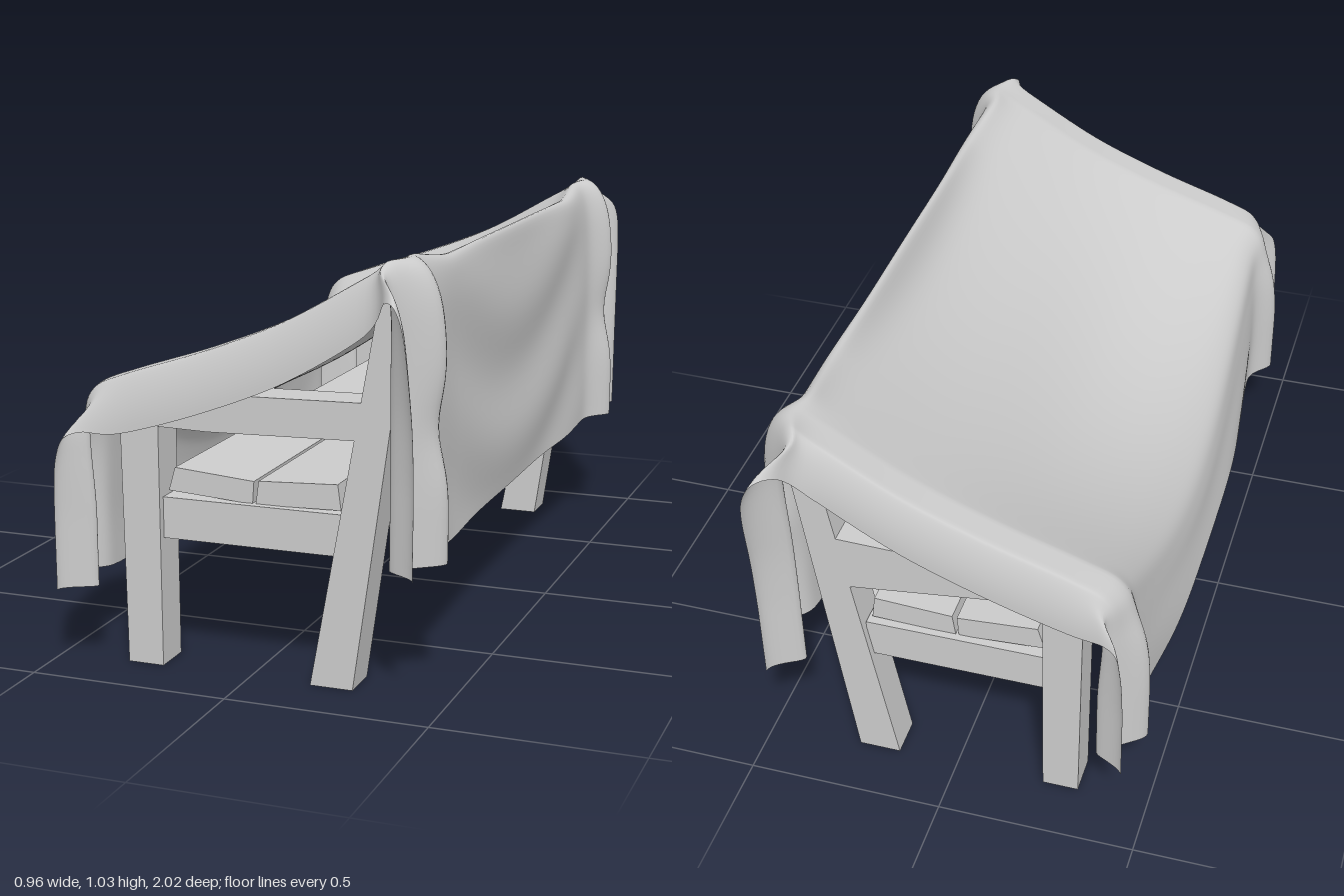
import * as THREE from 'three';

const wood = new THREE.MeshStandardMaterial({ color: 0xcccccc, flatShading: true });
const fabric = new THREE.MeshStandardMaterial({ color: 0xcccccc, side: THREE.DoubleSide });

// Timber cut from a side outline (x, y) and extruded along z about a centre
function plank(name, outline, zCentre, depth) {
  const shape = new THREE.Shape(outline.map(([x, y]) => new THREE.Vector2(x, y)));
  const geo = new THREE.ExtrudeGeometry(shape, { depth, bevelEnabled: false });
  geo.translate(0, 0, zCentre - depth / 2);
  const mesh = new THREE.Mesh(geo, wood);
  mesh.name = name;
  return mesh;
}

const rect = (x0, x1, y0, y1) => [[x0, y0], [x1, y0], [x1, y1], [x0, y1]];

function createBench() {
  const bench = new THREE.Group();
  bench.name = 'bench';

  // End frames: upright front leg, raked back post, arm and side rail
  for (const s of [1, -1]) {
    const z = 0.8 * s;
    const rearBottom = s > 0 ? 0.605 : 0.545;
    bench.add(
      plank('frontLeg', [[-0.32, 0], [-0.228, 0], [-0.228, 0.61], [-0.328, 0.61]], z, 0.1),
      plank('backPost', [[0.155, 0], [0.262, 0], [0.402, 0.96], [0.335, 0.97]], z, 0.1),
      plank('armrest', [[-0.37, 0.6], [-0.1, 0.595], [0.28, rearBottom], [0.3, 0.695], [-0.15, 0.685], [-0.37, 0.645]], z, 0.1),
      plank('sideRail', rect(-0.23, 0.23, 0.318, 0.42), z, 0.06),
    );
  }

  // Long rails under the seat
  bench.add(
    plank('frontRail', rect(-0.3, -0.25, 0.318, 0.42), 0, 1.52),
    plank('backRail', [[0.2, 0.318], [0.25, 0.318], [0.265, 0.42], [0.215, 0.42]], 0, 1.52),
  );

  // Two wide, slightly tilted seat boards
  bench.add(
    plank('seatBoard', [[-0.222, 0.432], [-0.004, 0.418], [0, 0.474], [-0.205, 0.49]], 0, 1.62),
    plank('seatBoard', [[0.004, 0.418], [0.22, 0.424], [0.212, 0.486], [0.012, 0.476]], 0, 1.62),
  );

  // Backrest boards following the rake of the posts
  for (const y of [0.66, 0.76, 0.86]) {
    const x = 0.21 + 0.165 * y;
    bench.add(plank('backBoard', [[x, y], [x + 0.025, y], [x + 0.039, y + 0.085], [x + 0.014, y + 0.085]], 0, 1.52));
  }
  return bench;
}

// Cloth section from back hem to front hem:
// [x, y at the ends, x, y at the middle, how far it belongs to a hanging panel]
const SECTION = [
  [0.418, 0.32, 0.405, 0.3, 1],
  [0.42, 0.52, 0.41, 0.5, 1],
  [0.42, 0.72, 0.412, 0.72, 0.95],
  [0.414, 0.93, 0.412, 0.92, 0.75],
  [0.372, 1.026, 0.388, 0.998, 0.4],
  [0.3, 0.985, 0.315, 0.885, 0.05],
  [0.1, 0.872, 0.11, 0.745, 0],
  [-0.1, 0.79, -0.09, 0.61, 0],
  [-0.3, 0.723, -0.28, 0.51, 0.03],
  [-0.395, 0.677, -0.39, 0.425, 0.3],
  [-0.422, 0.56, -0.44, 0.34, 0.75],
  [-0.424, 0.38, -0.458, 0.25, 1],
  [-0.424, 0.2, -0.463, 0.155, 1],
];
const RAIL_POINTS = 5; // section points behind and over the straight top rail
const EDGE = 0.865; // where the cloth turns over the bench ends
const bump = (a, centre, width) => Math.exp(-(((a - centre) / width) ** 2));

function createCloth() {
  const rows = 90, cols = 200;
  const positions = [], index = [];
  for (let j = 0; j <= cols; j++) {
    const q = (j / cols) * 2 - 1;
    const a = Math.abs(q), side = Math.sign(q);
    const sag = Math.max(0, 1 - (a / 0.79) ** 2) ** 1.1;
    const t = Math.max(0, (a - EDGE) / (1 - EDGE));
    // the third component carries the panel weight along the curve
    const curve = new THREE.CatmullRomCurve3(SECTION.map(([xe, ye, xm, ym, w], k) => {
      const m = k < RAIL_POINTS ? THREE.MathUtils.smoothstep(sag, 0, 0.55) : sag;
      return new THREE.Vector3(THREE.MathUtils.lerp(xe, xm, m), THREE.MathUtils.lerp(ye, ym, m), w);
    }));
    for (let i = 0; i <= rows; i++) {
      const p = curve.getPoint(i / rows);
      const w = THREE.MathUtils.clamp(p.z, 0, 1);
      const outward = i < rows / 2 ? 1 : -1;
      // corner folds on the hanging panels, pinched part way down
      const pinch = 1 - 0.45 * bump(p.y, 0.64, 0.1);
      const fold = 0.06 * pinch * bump(a, 0.8, 0.045) - 0.05 * bump(a, 0.905, 0.04) + 0.03 * bump(a, 1, 0.05);
      // shallow swags strung between the corners
      const swag = 0.009 * Math.sin((p.y - 0.4 * (a / 0.83) ** 2) * 18) * sag;
      // the end flap hangs down over the arms and flares out beside the panels
      const drop = 0.142 * (1 - w) ** 1.2 * t ** 1.3;
      const flare = outward > 0 ? 0.1 + 0.45 * w * (1 - w) : 0.09 + 0.1 * w * (1 - w);
      const reach = Math.sin(t * Math.PI / 2) * 0.035 * (1 - w) + t * w * flare;
      positions.push(p.x + outward * w * (fold + swag), p.y - drop, side * (Math.min(a, EDGE) + reach));
    }
  }
  const n = rows + 1;
  for (let j = 0; j < cols; j++) {
    for (let i = 0; i < rows; i++) {
      const k = j * n + i;
      index.push(k, k + 1, k + n, k + 1, k + n + 1, k + n);
    }
  }
  const geo = new THREE.BufferGeometry();
  geo.setAttribute('position', new THREE.Float32BufferAttribute(positions, 3));
  geo.setIndex(index);
  geo.computeVertexNormals();
  const mesh = new THREE.Mesh(geo, fabric);
  mesh.name = 'drapedCloth';
  return mesh;
}

export function createModel() {
  const model = new THREE.Group();
  model.name = 'coveredBench';
  model.add(createBench(), createCloth());
  return model;
}
